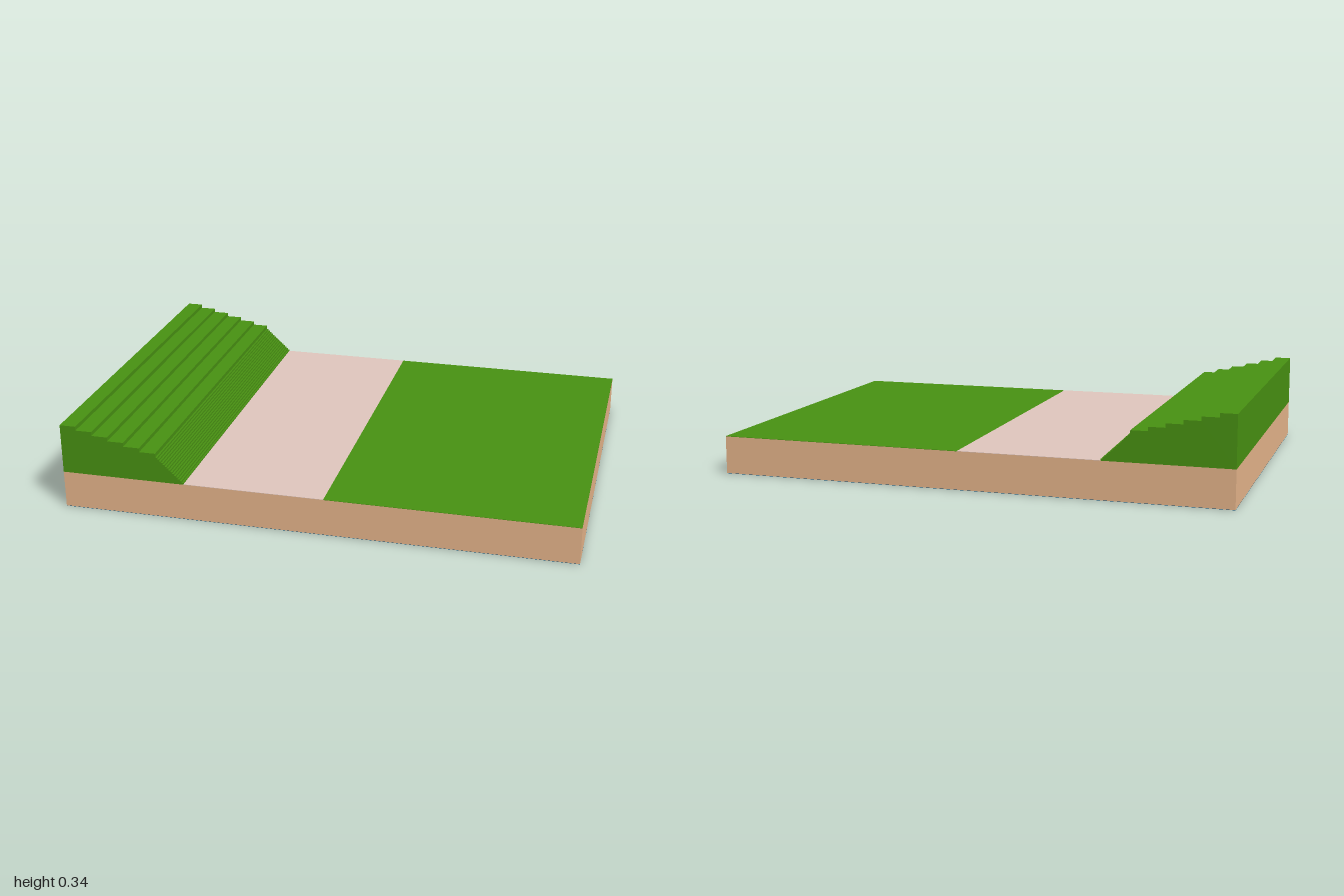
import * as THREE from 'three';

const DEPTH = 1.46, BASE = 0.001, SLAB_TOP = 0.147, COVER_TOP = 0.1485;

const material = (name, color) => {
  const m = new THREE.MeshStandardMaterial({ color });
  m.name = name;
  return m;
};

export function createModel() {
  const grass = material('grass green', 0x489112);
  const path = material('path pink', 0xe0c6bd);
  const earth = material('earth tan', 0xe6b58b);
  const underside = material('underside blue', 0x005080);

  const model = new THREE.Group();
  model.name = 'terrain';

  // Box spanning x0..x1 and y0..y1 over the full depth
  const slab = (name, mat, x0, x1, y0, y1) => {
    const mesh = new THREE.Mesh(new THREE.BoxGeometry(x1 - x0, y1 - y0, DEPTH), mat);
    mesh.position.set((x0 + x1) / 2, (y0 + y1) / 2, 0);
    mesh.name = name;
    model.add(mesh);
  };

  // Ground slab with its coverings
  slab('underside', underside, -1, 1, 0, BASE);
  slab('earthSlab', earth, -1, 1, BASE, SLAB_TOP);
  slab('pathStrip', path, -0.51, 0.04, SLAB_TOP, COVER_TOP);
  slab('lawn', grass, 0.04, 1, SLAB_TOP, COVER_TOP);

  // Terraced bank: six wide terraces, then a flight of fine steps down to the path
  const profile = new THREE.Shape();
  profile.moveTo(-1, SLAB_TOP);
  const points = [];
  let x = -1, y = 0.344;
  const descend = (count, run, drop) => {
    for (let i = 0; i < count; i++) {
      points.push([x, y], [x + run, y]);
      x += run;
      y -= drop;
    }
  };
  descend(6, 0.0637, 0.0158);
  const steps = 15;
  descend(steps, (-0.51 - x) / steps, (y - SLAB_TOP) / steps);
  points.push([-0.51, SLAB_TOP]);
  points.reverse().forEach(([px, py]) => profile.lineTo(px, py));
  const bank = new THREE.Mesh(
    new THREE.ExtrudeGeometry(profile, { depth: DEPTH, bevelEnabled: false }), grass);
  bank.position.z = -DEPTH / 2;
  bank.name = 'terracedBank';
  model.add(bank);

  return model;
}
